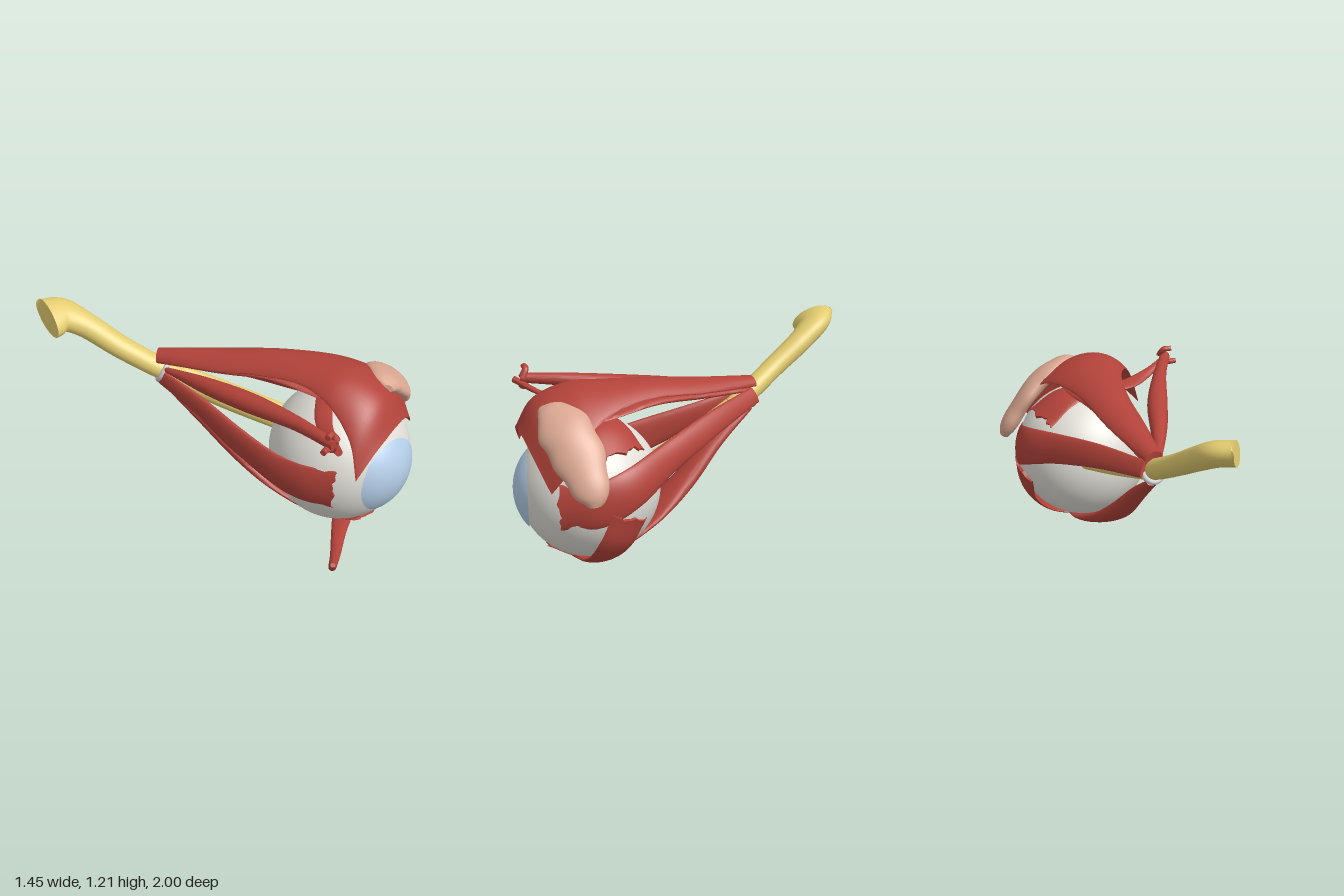
import * as THREE from 'three';
import { toCreasedNormals } from 'three/addons/utils/BufferGeometryUtils.js';

const V = (x, y, z) => new THREE.Vector3(x, y, z);
const mat = (color) => new THREE.MeshStandardMaterial({ color, roughness: 0.6, side: THREE.DoubleSide });
const EYE = V(0.195, 0.46, 0.557), RADIUS = 0.407;
const AXIS = new THREE.Line3(V(-0.29, 0.79, -0.45), EYE);
const UP = V(0, 1, 0), NERVE_UP = V(0, 0.88, 0.47);
const spline = (pts) => new THREE.CatmullRomCurve3(pts);

// ragged edge where a muscle ends
const ragged = (u, v) => Math.pow(u, 10) * (Math.sin(13 * v) + Math.sin(31 * v + 1) * 0.6 + Math.sin(71 * v) * 0.3);

// closed body around a middle surface mid(u, v), with elliptical cross-section and flat ends
function slab(name, material, mid, thick, nu = 40, nv = 16) {
  const pos = [], idx = [], ring = 2 * nv, e = 0.002;
  for (let i = -1; i <= nu + 1; i++) {
    const u = THREE.MathUtils.clamp(i / nu, 0, 1);
    const t = i < 0 || i > nu ? 0 : thick(u);
    for (let j = 0; j < ring; j++) {
      const a = (Math.PI * j) / nv, v = 0.5 - 0.5 * Math.cos(a);
      const du = mid(Math.min(u + e, 1), v).sub(mid(Math.max(u - e, 0), v));
      const dv = mid(u, Math.min(v + e, 1)).sub(mid(u, Math.max(v - e, 0)));
      const n = du.cross(dv).normalize();
      pos.push(...mid(u, v).addScaledVector(n, (Math.sin(a) * t) / 2));
    }
  }
  for (let i = 0; i < nu + 2; i++) for (let j = 0; j < ring; j++) {
    const k = (j + 1) % ring, a = i * ring, b = a + ring;
    idx.push(a + j, b + j, b + k, a + j, b + k, a + k);
  }
  const geo = new THREE.BufferGeometry();
  geo.setAttribute('position', new THREE.Float32BufferAttribute(pos, 3));
  geo.setIndex(idx);
  const mesh = new THREE.Mesh(toCreasedNormals(geo, 0.9), material);
  mesh.name = name;
  return mesh;
}

// band along stations [x, y, z, width, thickness]; hugs the globe unless a fixed up is given
function strap(name, material, stations, { up = null, jag = 0, lump = 0 } = {}) {
  const path = spline(stations.map((s) => V(s[0], s[1], s[2])));
  const size = spline(stations.map((s, i) => V(s[3], s[4], i * 0.1)));
  const mid = (u, v) => {
    const c = path.getPoint(u), T = path.getTangent(u);
    const N = up ? up.clone() : c.clone().sub(AXIS.closestPointToPoint(c, true, V(0, 0, 0)));
    const W = T.clone().cross(N).normalize();
    const p = c.clone().addScaledVector(W, (v - 0.5) * size.getPoint(u).x * (1 + lump * Math.sin(27 * u)));
    if (!up) {
      const r = c.distanceTo(EYE), k = 1 - THREE.MathUtils.smoothstep(r, 0.52, 0.72);
      p.lerp(p.clone().sub(EYE).setLength(r).add(EYE), k);
    }
    return p.addScaledVector(T, jag * ragged(u, v));
  };
  return slab(name, material, mid, (u) => size.getPoint(u).y * (1 + lump * Math.sin(19 * u)));
}

export function createModel() {
  const g = new THREE.Group();
  g.name = 'eyeWithMuscles';
  const red = mat(0xb3433a), yellow = mat(0xe3cc70), white = mat(0xe0ded6);
  const blue = mat(0xb4cee8), pink = mat(0xdba892), grey = mat(0xcccccc);

  // eyeball and cornea
  const ball = new THREE.Mesh(new THREE.SphereGeometry(RADIUS, 64, 40), white);
  ball.name = 'eyeball';
  ball.position.copy(EYE);
  const cornea = new THREE.Mesh(new THREE.SphereGeometry(0.327, 48, 16, 0, Math.PI * 2, 0, 0.75), blue);
  cornea.name = 'cornea';
  cornea.rotation.x = Math.PI / 2;
  cornea.position.set(0.205, 0.457, 0.664);
  g.add(ball, cornea);

  // optic nerve: two strands behind the eye joining into one trunk, cut off square to x
  for (const s of [-1, 1]) {
    g.add(strap('nerveStrand', yellow, [
      [0.12 + s * 0.033, 0.53 + s * 0.01, 0.22 - s * 0.015, 0.085, 0.1],
      [-0.08 + s * 0.033, 0.65 + s * 0.01, -0.1 - s * 0.015, 0.085, 0.1],
      [-0.27 + s * 0.02, 0.775, -0.39, 0.09, 0.11]], { up: UP }));
  }
  g.add(strap('opticNerve', yellow, [
    [-0.22, 0.74, -0.31, 0.12, 0.11], [-0.3, 0.8, -0.42, 0.13, 0.12], [-0.43, 0.92, -0.6, 0.14, 0.125],
    [-0.54, 1.045, -0.78, 0.16, 0.135], [-0.63, 1.11, -0.865, 0.22, 0.14], [-0.72, 1.12, -0.878, 0.265, 0.14]],
  { up: NERVE_UP }));

  // tendon ring at the apex
  const ring = new THREE.Mesh(new THREE.TorusGeometry(0.068, 0.016, 12, 32), grey);
  ring.name = 'tendonRing';
  ring.position.set(-0.28, 0.785, -0.4);
  ring.lookAt(-0.43, 0.92, -0.6);
  g.add(ring);

  // four straight muscles
  const straight = {
    lateralMuscle: [[-0.23, 0.81, -0.45, 0.1, 0.03], [0.05, 0.75, -0.17, 0.14, 0.05], [0.31, 0.66, 0.1, 0.18, 0.06],
      [0.54, 0.57, 0.33, 0.24, 0.04], [0.6, 0.5, 0.52, 0.27, 0.022], [0.565, 0.485, 0.735, 0.28, 0.018]],
    medialMuscle: [[-0.33, 0.77, -0.37, 0.1, 0.03], [-0.29, 0.68, -0.1, 0.14, 0.05], [-0.27, 0.57, 0.2, 0.2, 0.06],
      [-0.245, 0.49, 0.45, 0.24, 0.04], [-0.215, 0.47, 0.62, 0.26, 0.025], [-0.135, 0.465, 0.8, 0.27, 0.016]],
    lowerMuscle: [[-0.28, 0.72, -0.42, 0.07, 0.04], [-0.19, 0.54, -0.2, 0.13, 0.08], [-0.08, 0.33, 0, 0.18, 0.1],
      [0.02, 0.165, 0.22, 0.28, 0.07], [0.12, 0.055, 0.45, 0.3, 0.04], [0.18, 0.045, 0.62, 0.28, 0.025],
      [0.18, 0.125, 0.81, 0.28, 0.018]],
    upperMuscle: [[-0.27, 0.84, -0.42, 0.08, 0.03], [-0.12, 0.87, -0.1, 0.13, 0.05], [0.03, 0.91, 0.2, 0.2, 0.05],
      [0.14, 0.895, 0.45, 0.26, 0.03], [0.2, 0.88, 0.62, 0.28, 0.025], [0.215, 0.745, 0.862, 0.3, 0.018]],
  };
  for (const [name, stations] of Object.entries(straight)) g.add(strap(name, red, stations, { jag: 0.009 }));

  // lower slanting muscle, slung under the eyeball
  g.add(strap('lowerObliqueMuscle', red, [
    [-0.33, 0.165, 0.985, 0.03, 0.025], [-0.28, 0.09, 0.94, 0.045, 0.04], [-0.15, 0.045, 0.85, 0.06, 0.045],
    [0.03, 0.027, 0.72, 0.09, 0.045], [0.22, 0.025, 0.6, 0.14, 0.035], [0.42, 0.095, 0.5, 0.2, 0.03],
    [0.535, 0.23, 0.42, 0.24, 0.025], [0.555, 0.4, 0.34, 0.26, 0.018]], { jag: 0.009 }));

  // upper slanting muscle, its pulley, and the tendon turning back over the eyeball
  g.add(strap('upperObliqueMuscle', red, [
    [-0.31, 0.82, -0.35, 0.03, 0.03], [-0.295, 0.86, 0, 0.1, 0.1], [-0.275, 0.89, 0.3, 0.12, 0.11],
    [-0.275, 0.93, 0.65, 0.08, 0.08], [-0.295, 0.945, 0.93, 0.06, 0.06]], { up: UP }));
  g.add(strap('upperObliqueTendon', red, [
    [-0.31, 0.93, 0.97, 0.04, 0.04], [-0.2, 0.88, 0.82, 0.06, 0.03], [-0.08, 0.86, 0.66, 0.1, 0.02],
    [0.1, 0.88, 0.52, 0.13, 0.02], [0.29, 0.855, 0.42, 0.25, 0.02], [0.43, 0.755, 0.34, 0.31, 0.018]], { jag: 0.015 }));
  for (const y of [0, 0.08]) {
    g.add(strap('pulleyHook', red, [
      [-0.365 + y * 0.4, 0.925 + y, 0.91, 0.035, 0.03], [-0.32 + y * 0.4, 0.92 + y, 0.9, 0.04, 0.035],
      [-0.265, 0.9 + y * 0.7, 0.92, 0.05, 0.04]], { up: UP }));
  }

  // eyelid lifter: narrow at the apex, a wide draped sheet in front (left, middle, right edges)
  const L = spline([V(-0.33, 0.85, -0.4), V(-0.22, 0.9, -0.06), V(-0.11, 0.95, 0.22), V(-0.05, 0.98, 0.48),
    V(-0.06, 0.95, 0.68), V(-0.09, 0.82, 0.86), V(-0.13, 0.62, 0.95)]);
  const M = spline([V(-0.29, 0.89, -0.43), V(-0.12, 0.95, -0.1), V(0.03, 1.01, 0.2), V(0.15, 1.035, 0.47),
    V(0.2, 1.03, 0.65), V(0.22, 0.95, 0.83), V(0.21, 0.8, 0.93)]);
  const R = spline([V(-0.24, 0.86, -0.46), V(-0.01, 0.91, -0.13), V(0.19, 0.96, 0.2), V(0.39, 0.93, 0.46),
    V(0.52, 0.82, 0.6), V(0.575, 0.68, 0.69), V(0.56, 0.57, 0.77)]);
  const drape = (u, v) => L.getPoint(u).multiplyScalar((1 - v) * (1 - 2 * v))
    .addScaledVector(M.getPoint(u), 4 * v * (1 - v))
    .addScaledVector(R.getPoint(u), v * (2 * v - 1))
    .addScaledVector(UP, 0.002 * ragged(u, v));
  g.add(slab('eyelidLifter', red, drape, (u) => 0.045 - 0.02 * u, 48, 28));

  // tear gland on the outer upper side
  g.add(strap('tearGland', pink, [
    [0.28, 0.96, 0.81, 0.06, 0.04], [0.34, 0.95, 0.755, 0.22, 0.09], [0.44, 0.895, 0.69, 0.31, 0.115],
    [0.54, 0.79, 0.625, 0.3, 0.115], [0.62, 0.67, 0.575, 0.24, 0.11], [0.67, 0.58, 0.545, 0.16, 0.09],
    [0.685, 0.54, 0.54, 0.06, 0.05]], { lump: 0.05 }));
  return g;
}
